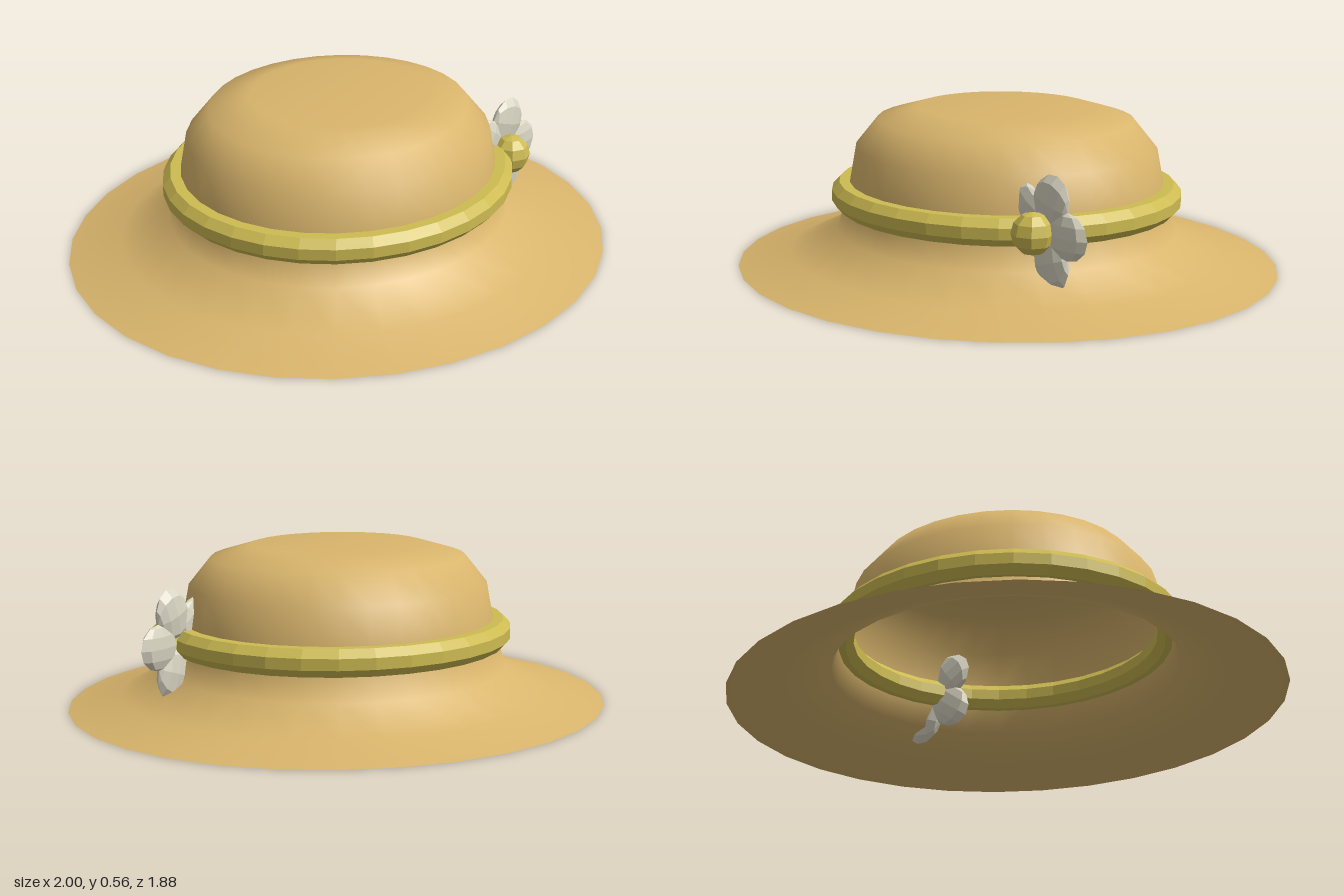
import * as THREE from 'three';

const DEPTH = 0.94; // the hat is slightly narrower front to back
const SIDES = 32;

const straw = new THREE.MeshStandardMaterial({ color: 0xd9b56c, side: THREE.DoubleSide });
straw.name = 'straw';
const gold = new THREE.MeshStandardMaterial({ color: 0xcdbb52, flatShading: true });
gold.name = 'gold';
const cream = new THREE.MeshStandardMaterial({ color: 0xd8d4c2, flatShading: true });
cream.name = 'cream';

function part(name, geometry, material) {
  const mesh = new THREE.Mesh(geometry, material);
  mesh.name = name;
  return mesh;
}

export function createModel() {
  const hat = new THREE.Group();
  hat.name = 'sunHat';

  // Brim and crown: one thin shell, open underneath
  const profile = [
    [1, 0], [0.81, 0.043], [0.63, 0.12], [0.6, 0.22], [0.58, 0.3],
    [0.557, 0.42], [0.473, 0.52], [0.325, 0.562], [0, 0.562],
  ].map(([r, y]) => new THREE.Vector2(r, y));
  const shell = part('brimAndCrown', new THREE.LatheGeometry(profile, SIDES), straw);
  shell.scale.z = DEPTH;
  hat.add(shell);

  // Band: an octagonal ring with a flat outer face
  const section = [];
  for (let i = 0; i <= 8; i++) {
    const a = (i + 0.5) * Math.PI / 4;
    section.push(new THREE.Vector2(0.6 + 0.051 * Math.cos(a), 0.25 + 0.051 * Math.sin(a)));
  }
  const band = part('band', new THREE.LatheGeometry(section, SIDES), gold);
  band.scale.z = DEPTH;
  hat.add(band);

  // Flower: five flattened petals around a button
  const flower = new THREE.Group();
  flower.name = 'flower';
  flower.position.set(0.54, 0.257, 0.307);
  for (let i = 0; i < 5; i++) {
    const a = i * Math.PI * 2 / 5;
    const petal = part('petal', new THREE.SphereGeometry(1, 8, 6), cream);
    petal.scale.set(0.095, 0.08, 0.03);
    petal.position.set(0.105 * Math.cos(a), 0.105 * Math.sin(a), 0);
    petal.rotation.z = a;
    flower.add(petal);
  }
  const button = part('flowerCentre', new THREE.SphereGeometry(0.072, 8, 6), gold);
  button.position.z = 0.05;
  flower.add(button);
  hat.add(flower);

  return hat;
}
